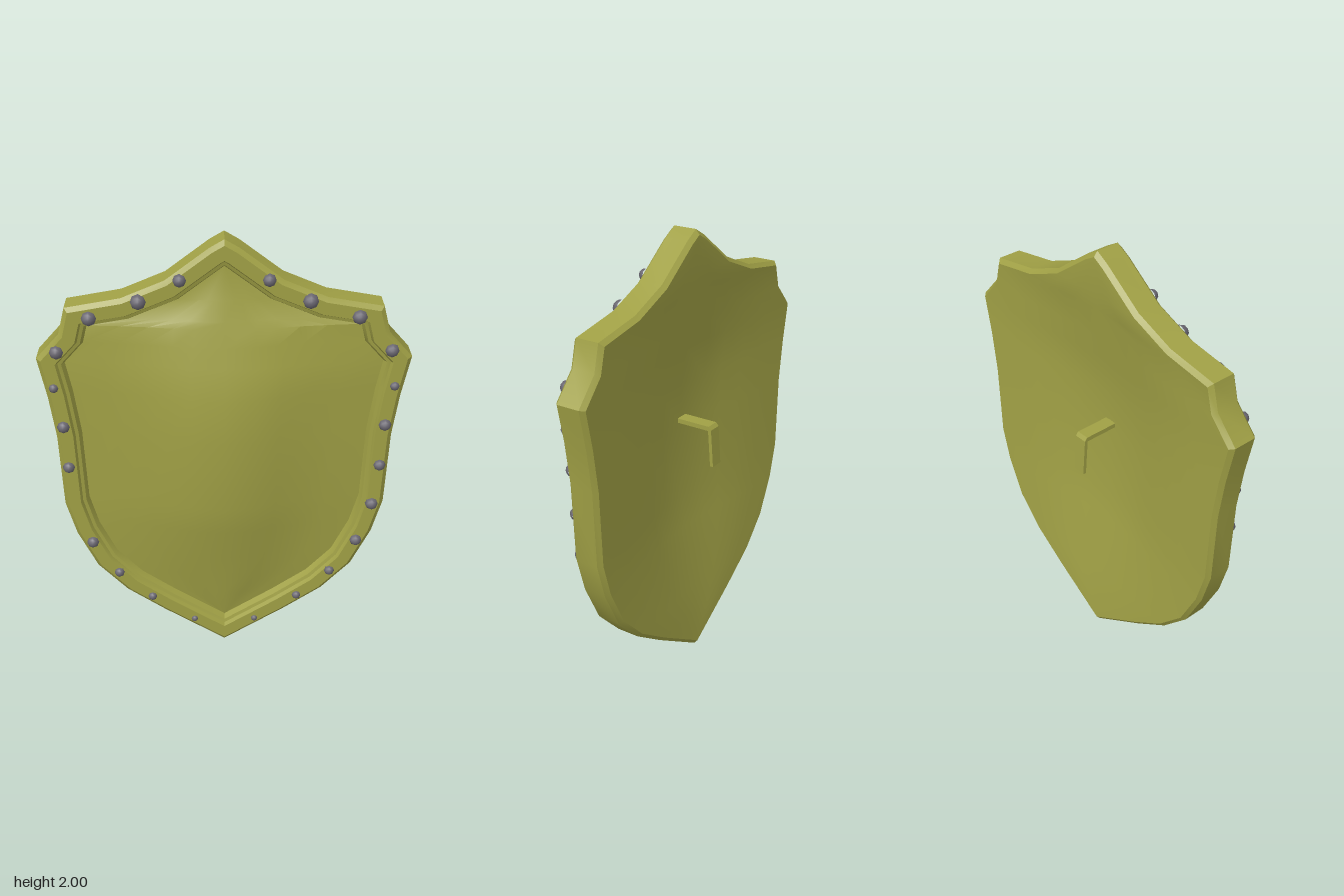
import * as THREE from 'three';
import { toCreasedNormals } from 'three/addons/utils/BufferGeometryUtils.js';

// Right half of the outline from top tip to bottom tip (x, y)
const HALF = [
  [0, 2], [0.06, 1.965], [0.24, 1.83], [0.42, 1.755], [0.65, 1.715], [0.68, 1.6], [0.78, 1.49],
  [0.745, 1.31], [0.72, 1.12], [0.708, 0.78], [0.665, 0.62], [0.58, 0.44], [0.45, 0.3], [0.28, 0.18], [0, 0],
];
const OUTLINE = [...HALF, ...HALF.slice(1, -1).reverse().map(([x, y]) => [-x, y])];

// Shrinks the clockwise outline by d, with mitred corners
function inset(d) {
  const n = OUTLINE.length;
  const normal = (a, b) => new THREE.Vector2(b[1] - a[1], a[0] - b[0]).normalize();
  return OUTLINE.map((p, i) => {
    const n1 = normal(OUTLINE[(i + n - 1) % n], p);
    const n2 = normal(p, OUTLINE[(i + 1) % n]);
    const k = d / (1 + n1.dot(n2));
    return [p[0] + (n1.x + n2.x) * k, p[1] + (n1.y + n2.y) * k];
  });
}

function build(positions, indices, crease) {
  const g = new THREE.BufferGeometry();
  g.setAttribute('position', new THREE.Float32BufferAttribute(positions, 3));
  g.setIndex(indices);
  return toCreasedNormals(g, crease);
}

// Rim: a profile of (inset, z) swept round the outline
function rimGeometry(profile) {
  const pos = [], idx = [], n = OUTLINE.length;
  for (const [d, z] of profile) for (const [x, y] of inset(d)) pos.push(x, y, z);
  for (let j = 0; j < profile.length - 1; j++) {
    for (let i = 0; i < n; i++) {
      const a = j * n + i, b = j * n + (i + 1) % n;
      idx.push(a, a + n, b, b, a + n, b + n);
    }
  }
  return build(pos, idx, 0.5);
}

// Piecewise linear lookup
function lerpTable(table, v) {
  for (let i = 1; i < table.length; i++) {
    const [x0, y0] = table[i - 1], [x1, y1] = table[i];
    if (v <= x1) return y0 + (y1 - y0) * (v - x0) / (x1 - x0);
  }
  return table[table.length - 1][1];
}

// Domed panel filling an inset outline
const ACROSS = [[0, 1], [0.22, 0.88], [0.37, 0.67], [0.55, 0.4], [0.75, 0.19], [1, 0]];
const UPWARD = [[0.1, 0], [0.44, 0.47], [0.78, 1], [1.31, 1], [1.87, 0]];
function panelGeometry(d, base, rise, back) {
  const rows = inset(d).slice(0, HALF.length);
  const cols = [...ACROSS.slice(1).reverse().map(([t]) => -t), ...ACROSS.map(([t]) => t)];
  const pos = [], idx = [], n = cols.length;
  for (const [w, y] of rows) {
    const v = Math.max(0, lerpTable(UPWARD, Math.max(0.1, y)));
    for (const t of cols) pos.push(t * w, y, base + rise * lerpTable(ACROSS, Math.abs(t)) * v);
  }
  for (let r = 0; r < rows.length - 1; r++) {
    for (let c = 0; c < n - 1; c++) {
      const a = r * n + c, b = a + n;
      if (back) idx.push(a, a + 1, b, b, a + 1, b + 1);
      else idx.push(a, b, a + 1, a + 1, b, b + 1);
    }
  }
  return build(pos, idx, 0.35);
}

export function createModel() {
  const model = new THREE.Group();
  model.name = 'shield';
  const olive = new THREE.MeshStandardMaterial({ color: 0xa0a045 });
  const steel = new THREE.MeshStandardMaterial({ color: 0x6b6872 });
  const add = (name, geometry, material) => {
    const mesh = new THREE.Mesh(geometry, material);
    mesh.name = name;
    model.add(mesh);
    return mesh;
  };

  // Bevelled rim with a stepped inner edge
  add('rim', rimGeometry([
    [0.018, -0.07], [0, -0.052], [0, 0.052], [0.018, 0.07], [0.072, 0.07],
    [0.08, 0.052], [0.094, 0.048], [0.105, 0.02],
  ]), olive);
  add('frontPanel', panelGeometry(0.105, 0.02, 0.13, false), olive);
  add('backPanel', panelGeometry(0.018, -0.07, 0.09, true), olive);

  // Hooked grip behind the panel, drawn in (z, y)
  const hook = new THREE.Shape([
    [0.06, 1.165], [-0.14, 1.165], [-0.153, 1.15], [-0.165, 0.98], [-0.15, 0.98], [-0.138, 1.145], [0.06, 1.145],
  ].map(([z, y]) => new THREE.Vector2(z, y)));
  const grip = new THREE.ExtrudeGeometry(hook, { depth: 0.06, bevelEnabled: false });
  grip.rotateY(-Math.PI / 2).translate(0.03, 0, 0);
  add('handle', grip, olive);

  // Domed rivets (x, y, radius), mirrored; one is missing on the right side
  const rivets = [
    [0.18, 1.835, 0.028], [0.348, 1.745, 0.033], [0.55, 1.675, 0.032], [0.692, 1.525, 0.03],
    [0.715, 1.36, 0.021], [0.687, 1.175, 0.028], [0.677, 0.975, 0.027], [0.655, 0.775, 0.029],
    [0.595, 0.58, 0.028], [0.483, 0.41, 0.024], [0.335, 0.27, 0.021], [0.14, 0.135, 0.016],
  ];
  const dome = new THREE.SphereGeometry(1, 8, 4, 0, Math.PI * 2, 0, Math.PI / 2).rotateX(Math.PI / 2);
  for (const side of [1, -1]) {
    rivets.forEach(([x, y, r], i) => {
      if (side < 0 && i === 7) return;
      const rivet = add('rivet', dome, steel);
      rivet.position.set(side * x, y, 0.066);
      rivet.scale.set(r, r, r * 1.1);
    });
  }

  // The whole shield is turned to face diagonally
  model.rotation.y = Math.PI / 4;
  const root = new THREE.Group();
  root.name = 'shieldModel';
  root.add(model);
  return root;
}
